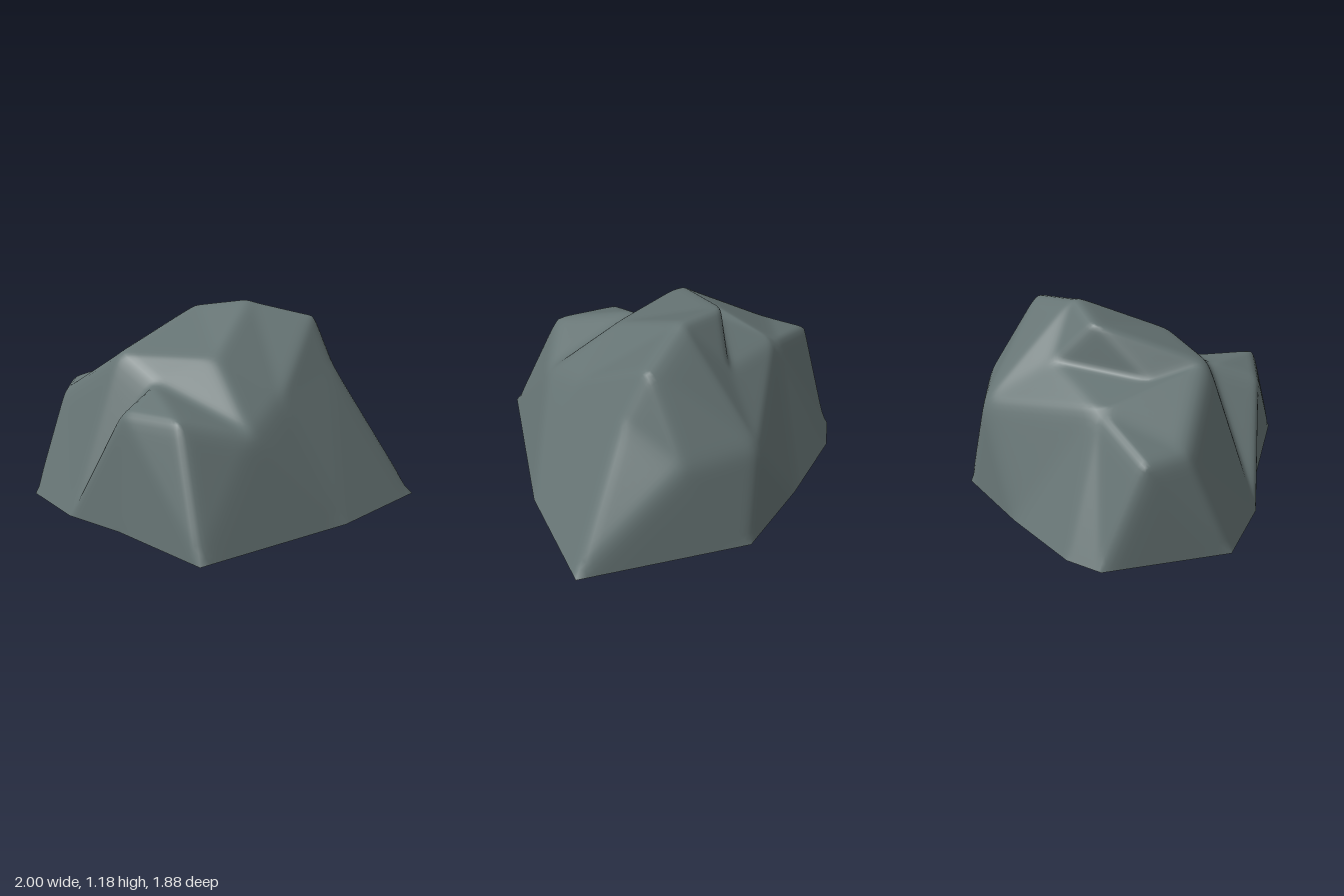
import * as THREE from 'three';

// Main corners of the boulder: footprint, shoulder, then summit
const CORNERS = [
  [-0.63, 0, 0.87], [-0.13, 0, 0.94], [0.28, 0, 0.88], [1, 0, 0.87], [0.985, 0, -0.2],
  [0.82, 0, -0.94], [-0.22, 0, -0.85], [-0.6, 0, -0.44], [-0.93, 0, -0.02], [-1, 0, 0.2],
  [-0.67, 0.63, 0.61], [-0.1, 0.93, 0.61], [0.19, 0.79, 0.57], [0.29, 0.68, 0.86], [0.7, 0.69, 0.77],
  [0.8, 0.57, 0.35], [0.64, 0.7, 0], [0.48, 0.8, -0.58], [0.17, 0.6, -0.83], [-0.28, 0.6, -0.72],
  [-0.58, 0.78, 0.08], [-0.885, 0.64, 0.42], [0.37, 0.93, 0.25], [-0.27, 0.85, 0.3], [-0.2, 1.15, -0.05],
  [0.08, 1.2, -0.25], [0.32, 1.11, -0.55], [-0.2, 0.88, -0.3],
];

// Facets of the side walls
const WALLS = [
  [0, 1, 10], [1, 11, 10], [1, 12, 11], [1, 13, 12], [1, 2, 13], [2, 3, 13], [3, 14, 13],
  [3, 15, 14], [3, 4, 15], [4, 16, 15], [4, 17, 16], [4, 5, 17], [5, 18, 17], [5, 6, 18],
  [6, 19, 18], [6, 7, 19], [7, 20, 19], [7, 8, 20], [8, 9, 20], [9, 21, 20], [9, 0, 21], [0, 10, 21],
];

// Facets of the ledges, the step and the summit
const CROWN = [
  [12, 13, 14], [12, 14, 15], [12, 15, 22], [15, 16, 22], [11, 12, 22], [11, 22, 24],
  [22, 25, 24], [22, 16, 25], [16, 26, 25], [16, 17, 26], [17, 18, 26], [18, 19, 26],
  [19, 25, 26], [19, 27, 25], [27, 24, 25], [19, 20, 27], [20, 23, 27], [27, 23, 24],
  [23, 11, 24], [20, 10, 11], [20, 11, 23], [20, 21, 10],
];

// Split every triangle in four, sharing the edge midpoints
function subdivide(points, faces) {
  const mids = new Map();
  const mid = (a, b) => {
    const key = Math.min(a, b) + '_' + Math.max(a, b);
    if (!mids.has(key)) {
      mids.set(key, points.length);
      points.push(points[a].clone().lerp(points[b], 0.5));
    }
    return mids.get(key);
  };
  return faces.flatMap(([a, b, c]) => {
    const ab = mid(a, b), bc = mid(b, c), ca = mid(c, a);
    return [[a, ab, ca], [ab, b, bc], [ca, bc, c], [ab, bc, ca]];
  });
}

// Wear down the edges, keeping the footprint fixed
function wear(points, faces, passes) {
  const near = points.map(() => new Set());
  for (const f of faces) for (const a of f) for (const b of f) if (a !== b) near[a].add(b);
  for (let i = 0; i < passes; i++) {
    const old = points.map((p) => p.clone());
    points.forEach((p, k) => {
      if (old[k].y < 1e-6) return;
      const mean = new THREE.Vector3();
      near[k].forEach((n) => mean.add(old[n]));
      p.lerp(mean.divideScalar(near[k].size), 0.5);
    });
  }
}

export function createModel() {
  const stone = new THREE.MeshStandardMaterial({ color: 0x667474, side: THREE.DoubleSide });
  stone.name = 'slate grey stone';

  const points = CORNERS.map((c) => new THREE.Vector3(...c));
  let faces = [...WALLS, ...CROWN];
  for (let i = 0; i < 4; i++) faces = subdivide(points, faces);
  wear(points, faces, 5);

  // Hollow shell, open underneath
  const geometry = new THREE.BufferGeometry().setFromPoints(points);
  geometry.setIndex(faces.flat());
  geometry.computeVertexNormals();

  const boulder = new THREE.Mesh(geometry, stone);
  boulder.name = 'boulder';
  const group = new THREE.Group();
  group.name = 'rock';
  group.add(boulder);
  return group;
}
